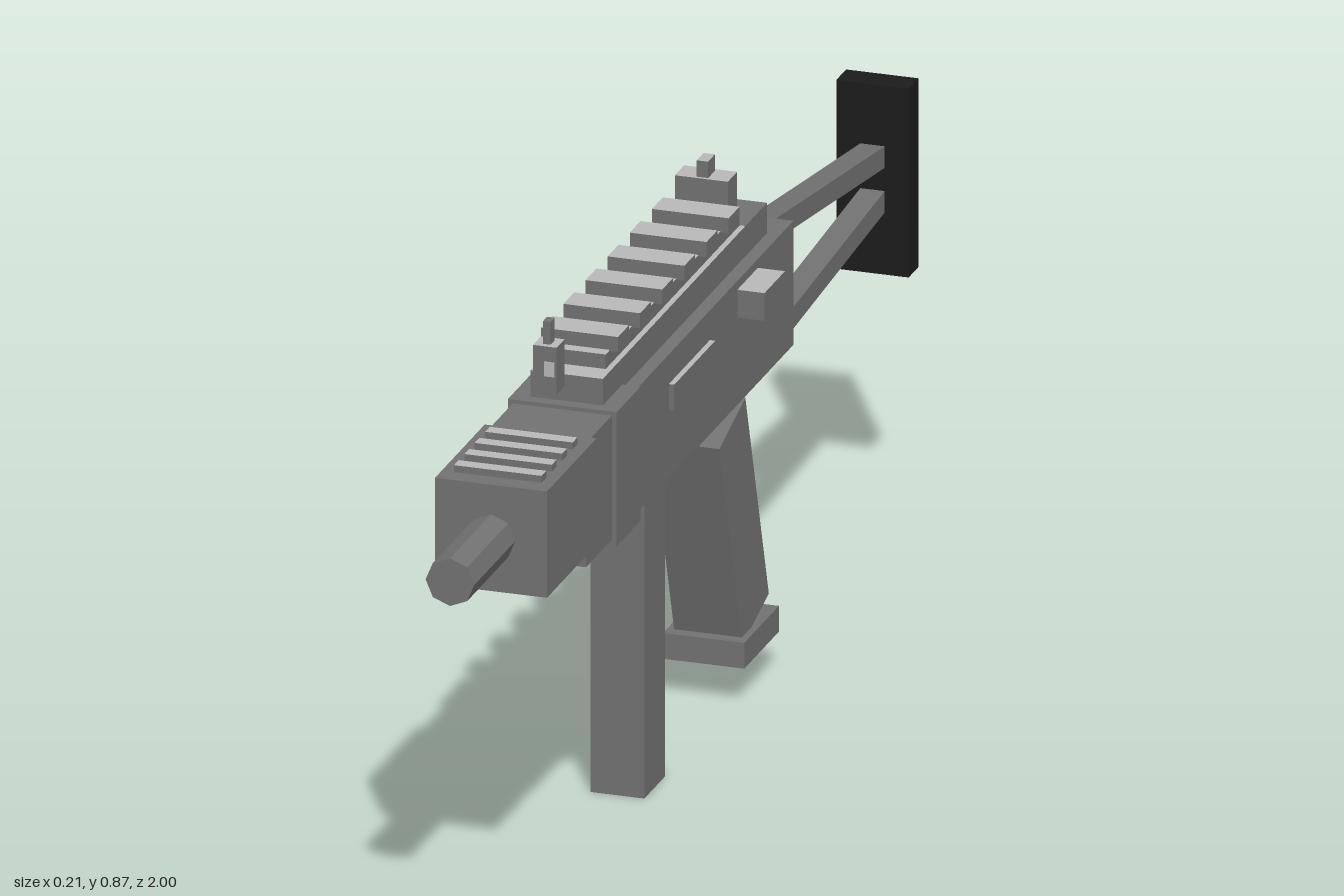
import * as THREE from 'three';

const CX = -0.017; // centre plane of the body

export function createModel() {
  const model = new THREE.Group();
  const material = (name, color) => {
    const m = new THREE.MeshStandardMaterial({ color, flatShading: true });
    m.name = name;
    return m;
  };
  const grey = material('gunmetal grey', 0x727272);
  const light = material('worn light grey', 0xb8b8b8);
  const black = material('rubber black', 0x1c1c1c);
  // Box faces in order +x, -x, +y, -y, +z, -z: only the top is worn
  const wornTop = [grey, grey, light, grey, grey, grey];

  const add = (name, geometry, mat = grey) => {
    const mesh = new THREE.Mesh(geometry, mat);
    mesh.name = name;
    model.add(mesh);
    return mesh;
  };
  // Box centred on the body plane, given width and its y and z ranges
  const box = (name, w, y0, y1, z0, z1, mat = grey, x = CX) => {
    const mesh = add(name, new THREE.BoxGeometry(w, y1 - y0, z1 - z0), mat);
    mesh.position.set(x, (y0 + y1) / 2, (z0 + z1) / 2);
    return mesh;
  };
  // Square bar between two points in the body plane
  const bar = (name, w, t, [y0, z0], [y1, z1]) => {
    const mesh = add(name, new THREE.BoxGeometry(w, t, Math.hypot(y1 - y0, z1 - z0)));
    mesh.position.set(CX, (y0 + y1) / 2, (z0 + z1) / 2);
    mesh.rotation.x = Math.atan2(-(y1 - y0), z1 - z0);
    return mesh;
  };

  // Body
  box('receiver', 0.155, 0.51, 0.707, -0.36, 0.6);
  box('receiverBand', 0.17, 0.5, 0.713, 0.37, 0.48);
  box('handguard', 0.175, 0.54, 0.709, 0.58, 0.81);
  for (let i = 0; i < 4; i++) {
    const z = 0.768 - i * 0.048;
    box('handguardRib', 0.137, 0.705, 0.72, z - 0.011, z + 0.011, wornTop);
  }

  // Eight-sided barrel with a corner at the top
  const barrel = add('barrel', new THREE.CylinderGeometry(0.038, 0.038, 0.21, 8));
  barrel.rotation.x = Math.PI / 2;
  barrel.position.set(CX, 0.624, 0.895);

  // Top rail, worn from the rear sight forward
  box('railBase', 0.113, 0.705, 0.755, -0.3, -0.2);
  box('railBase', 0.113, 0.705, 0.755, -0.2, 0.46, wornTop);
  box('rail', 0.095, 0.75, 0.778, -0.2, 0.42, wornTop);
  for (let i = 0; i < 6; i++) {
    const z = 0.375 - i * 0.1024;
    box('railTooth', 0.12, 0.776, 0.8, z - 0.025, z + 0.025, wornTop);
  }

  // Sights
  box('frontSight', 0.037, 0.763, 0.837, 0.524, 0.561, wornTop);
  box('frontSightPost', 0.012, 0.837, 0.873, 0.533, 0.552);
  box('frontSightMark', 0.016, 0.79, 0.813, 0.56, 0.563, light, -0.01);
  box('rearSight', 0.083, 0.76, 0.837, -0.206, -0.163, wornTop);
  box('rearSightPost', 0.018, 0.837, 0.863, -0.2, -0.168, wornTop);

  // Side details
  box('sidePlates', 0.172, 0.618, 0.66, 0.027, 0.217, wornTop);
  box('chargingHandle', 0.053, 0.649, 0.693, -0.195, -0.1, wornTop, 0.0765);

  // Magazine, grip and trigger guard
  box('magazine', 0.084, 0, 0.51, 0.13, 0.225);
  const grip = box('grip', 0.106, 0.1, 0.467, -0.268, -0.142);
  grip.position.set(CX, 0.284, -0.204);
  grip.rotation.x = 0.3;
  box('gripBase', 0.127, 0.062, 0.103, -0.334, -0.174);
  box('triggerGuardFront', 0.03, 0.445, 0.512, 0.086, 0.104);
  box('triggerGuard', 0.03, 0.445, 0.456, -0.1, 0.104);

  // Shoulder stock
  bar('upperStrut', 0.038, 0.034, [0.665, -0.36], [0.581, -0.96]);
  bar('lowerStrut', 0.038, 0.034, [0.47, -0.36], [0.511, -0.96]);
  box('buttPad', 0.113, 0.395, 0.695, -1, -0.955, black);

  return model;
}
